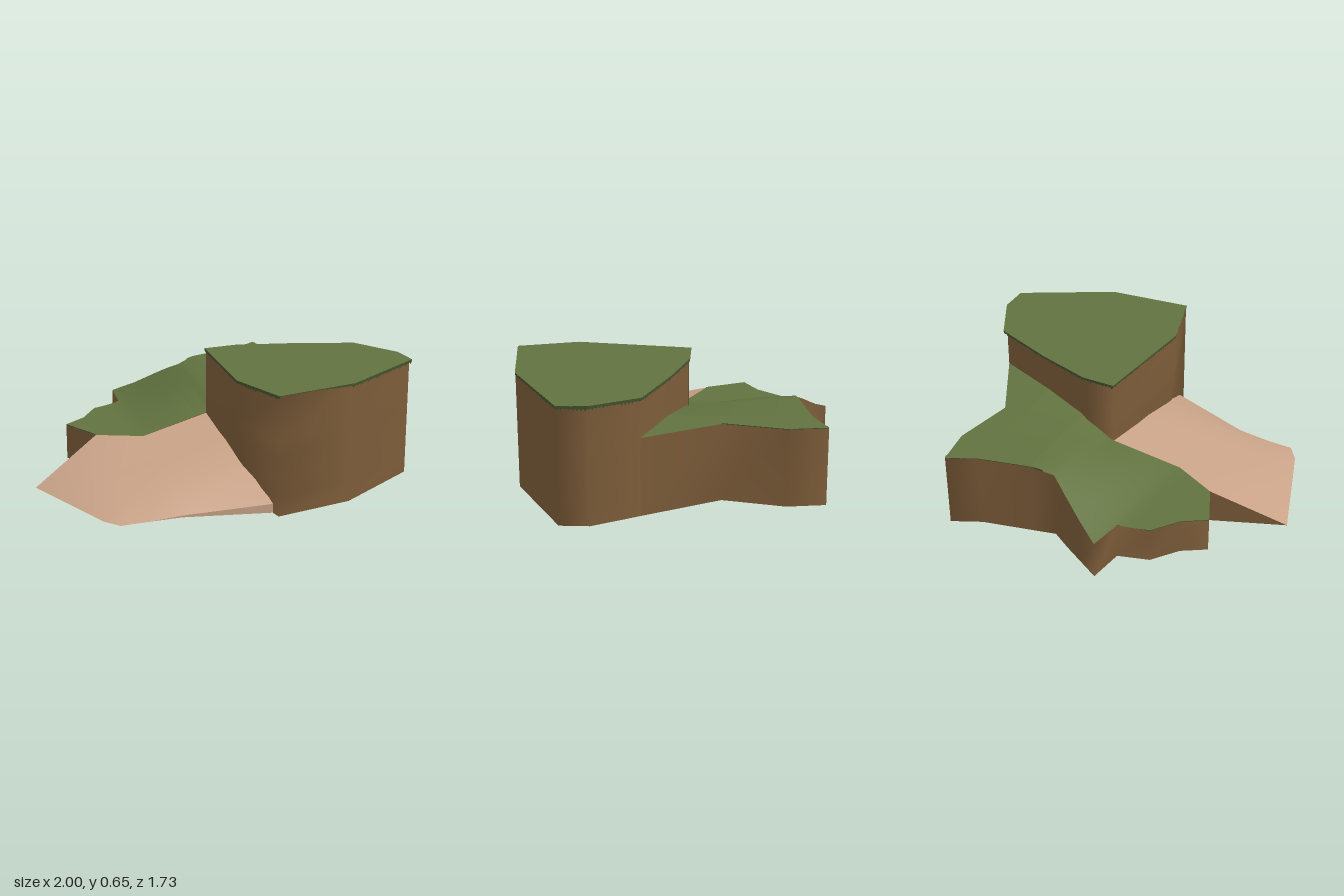
import * as THREE from 'three';

const mat = (name, color, side = THREE.FrontSide) => {
  const m = new THREE.MeshStandardMaterial({ color, side });
  m.name = name;
  return m;
};

// Piecewise linear lookup in a short list of [x, value]
const lookup = (table, x) => {
  for (let i = 1; i < table.length; i++) {
    const [x0, v0] = table[i - 1], [x1, v1] = table[i];
    if (x <= x1) return v0 + (v1 - v0) * Math.max(0, (x - x0) / (x1 - x0));
  }
  return table[table.length - 1][1];
};

const build = (positions, index) => {
  const g = new THREE.BufferGeometry();
  g.setAttribute('position', new THREE.Float32BufferAttribute(positions.flat(), 3));
  if (index) g.setIndex(index);
  g.computeVertexNormals();
  return g;
};

// Surface through rows of points; optionally closed around
function loft(rows, closed = false) {
  const n = rows[0].length, index = [];
  for (let r = 0; r < rows.length - 1; r++)
    for (let i = 0; i < (closed ? n : n - 1); i++) {
      const a = r * n + i, b = r * n + (i + 1) % n;
      index.push(a, a + n, b, b, a + n, b + n);
    }
  return build(rows.flat(), index);
}

// Flat polygon facing up or down
function cap(outline, y, up) {
  const pts = outline.map(([x, z]) => new THREE.Vector2(x, z));
  const index = [];
  for (const [a, b, c] of THREE.ShapeUtils.triangulateShape(pts, [])) {
    const [p, q, r] = [pts[a], pts[b], pts[c]];
    const ny = (q.y - p.y) * (r.x - p.x) - (q.x - p.x) * (r.y - p.y);
    if ((ny > 0) === up) index.push(a, b, c);
    else index.push(a, c, b);
  }
  return build(outline.map(([x, z]) => [x, y, z]), index);
}

// Ragged turf border: a lip on top and blades hanging over the edge
function turfEdge(path, height, inward) {
  let seed = 7;
  const rand = () => (seed = (seed * 16807) % 2147483647) / 2147483647;
  const lip = [], blades = [];
  for (let i = 0; i < path.length - 1; i++) {
    const [ax, az] = path[i], [bx, bz] = path[i + 1];
    const len = Math.hypot(bx - ax, bz - az), steps = Math.max(1, Math.round(len / 0.02));
    const nx = -(bz - az) / len * inward, nz = (bx - ax) / len * inward;
    for (let s = 0; s < steps; s++) {
      const at = (t, inset, drop) => {
        const x = ax + (bx - ax) * t, z = az + (bz - az) * t;
        return [x + nx * inset, height(x) + 0.004 - drop, z + nz * inset];
      };
      const t0 = s / steps, t1 = (s + 1) / steps, tm = (t0 + t1) / 2;
      const a = at(t0, 0, 0), b = at(t1, 0, 0);
      const a1 = at(t0, 0.018, 0), b1 = at(t1, 0.018, 0);
      const a2 = at(t0, 0.002, 0.013), b2 = at(t1, 0.002, 0.013);
      lip.push(a, b, b1, a, b1, a1, a1, b1, at(tm, 0.022 + rand() * 0.012, 0));
      blades.push(a, b2, b, a, a2, b2, a2, at(tm, 0.004, 0.018 + rand() * 0.012), b2);
    }
  }
  return [build(lip), build(blades)];
}

export function createModel() {
  const group = new THREE.Group();
  const earth = mat('brown earth', 0x7c5c39, THREE.DoubleSide);
  const grass = mat('green grass', 0x61723f, THREE.DoubleSide);
  const darkGrass = mat('dark green grass', 0x46552f, THREE.DoubleSide);
  const sand = mat('pale sand', 0xc9a388, THREE.DoubleSide);
  const add = (name, geometry, material) => {
    const m = new THREE.Mesh(geometry, material);
    m.name = name;
    group.add(m);
  };

  // Tall plateau
  const tall = [[0.03, -0.1], [0.22, -0.1], [0.52, -0.01], [0.86, 0.12], [0.995, 0.38],
    [0.995, 0.54], [0.5, 0.81], [0.04, 0.862], [-0.05, 0.53]];
  const tallTop = 0.65;
  const wallRing = (y) => tall.map(([x, z], i) => {
    // the left corner is undercut towards the ground
    if (i === 8) return [lookup([[0, 0.02], [0.2, -0.02], [0.42, -0.047]], y), y, z];
    return [x > 0.1 ? x - 0.018 : x + 0.005, y, z < 0.2 ? z + 0.013 : z];
  });
  add('tallPlateauWall', loft([0, 0.1, 0.2, 0.32, 0.42, tallTop].map(wallRing), true), earth);
  add('tallPlateauBase', cap(wallRing(0).map(([x, , z]) => [x, z]), 0, false), earth);
  add('tallPlateauGrass', cap(tall, tallTop, true), grass);
  const [tallLip, tallBlades] = turfEdge([...tall, tall[0]], () => tallTop, 1);
  add('tallPlateauTurfLip', tallLip, grass);
  add('tallPlateauTurfBlades', tallBlades, darkGrass);

  // Low terrace: rises from left to right
  const low = (x) => 0.2 + 0.23 * THREE.MathUtils.smoothstep(x, -0.36, 0.22);
  const backEdge = [[-0.7, -0.4], [-0.57, -0.48], [-0.46, -0.62], [-0.29, -0.67], [-0.26, -0.87],
    [-0.14, -0.8], [-0.02, -0.73], [0.09, -0.66], [0.22, -0.69], [0.5, -0.755]];
  const frontEdge = [[-0.7, -0.4], [-0.6, -0.17], [-0.36, -0.05], [0.06, -0.09], [0.25, -0.06], [0.5, 0.03]];
  const frontHeight = [[-0.7, 0.2], [-0.36, 0.2], [0.04, 0.28], [0.25, 0.39], [0.5, 0.43]];
  const rightEdge = [[0.66, -0.83], [0.69, -0.62], [0.62, -0.28], [0.84, 0.13]];
  const xs = [...backEdge, ...frontEdge].map((p) => p[0]);
  for (let x = -0.32; x < 0.25; x += 0.06) xs.push(x);
  const columns = [...new Set(xs)].sort((a, b) => a - b).map((x) => {
    const z0 = lookup(backEdge, x), z1 = lookup(frontEdge, x);
    return [0, 0.25, 0.5, 0.75, 1].map((t) =>
      [x, THREE.MathUtils.lerp(low(x), lookup(frontHeight, x), t * t), z0 + (z1 - z0) * t]);
  });
  const slope = loft(columns);
  slope.index.array.reverse();
  slope.computeVertexNormals();
  add('lowTerraceSlope', slope, grass);
  add('lowTerraceGrass', cap([[0.5, -0.755], ...rightEdge, [0.5, 0.03]], 0.43, true), grass);
  const rim = [[-0.6, -0.17], ...backEdge, ...rightEdge];
  add('lowTerraceWall', loft([rim.map(([x, z]) => [x, 0, z]), rim.map(([x, z]) => [x, low(x), z])]), earth);
  add('lowTerraceBase', cap([...rim, [0.5, 0.03], [0.06, -0.09], [-0.36, -0.05]], 0, false), earth);

  // Turf border on the two grassy stretches of the terrace
  const stretches = {
    left: rim.slice(0, 5),
    right: [[0.15, -0.675], ...rim.slice(9, 14)],
  };
  for (const [side, path] of Object.entries(stretches)) {
    const [lip, blades] = turfEdge(path, low, 1);
    add(side + 'TerraceTurfLip', lip, grass);
    add(side + 'TerraceTurfBlades', blades, darkGrass);
  }

  // Sand ramp, rows running from back to front
  const ramp = [
    [[-1, 0, -0.015], [-0.6, 0.2, -0.17], [-0.36, 0.2, -0.05], [0.06, 0.28, -0.09]],
    [[-0.9, 0, 0.3], [-0.65, 0.1, 0.25], [-0.38, 0.17, 0.28], [0.06, 0.25, 0.28]],
    [[-0.81, 0, 0.58], [-0.63, 0.05, 0.48], [-0.4, 0.12, 0.5], [0.06, 0.2, 0.53]],
    [[-0.75, 0, 0.665], [-0.6, 0, 0.67], [-0.42, 0.01, 0.68], [0.05, 0.05, 0.805]],
  ];
  add('sandRamp', loft(ramp), sand);
  const front = ramp[3];
  add('sandRampFront', loft([front.map(([x, , z]) => [x, 0, z]), front]), sand);
  const back = ramp[0].slice(0, 2);
  add('sandRampBackWall', loft([back.map(([x, , z]) => [x, 0, z]), back]), earth);
  const outline = [...ramp[0], ramp[1][3], ramp[2][3], ...[...front].reverse(), ramp[2][0], ramp[1][0]];
  add('sandRampBase', cap(outline.map(([x, , z]) => [x, z]), 0, false), earth);

  return group;
}
